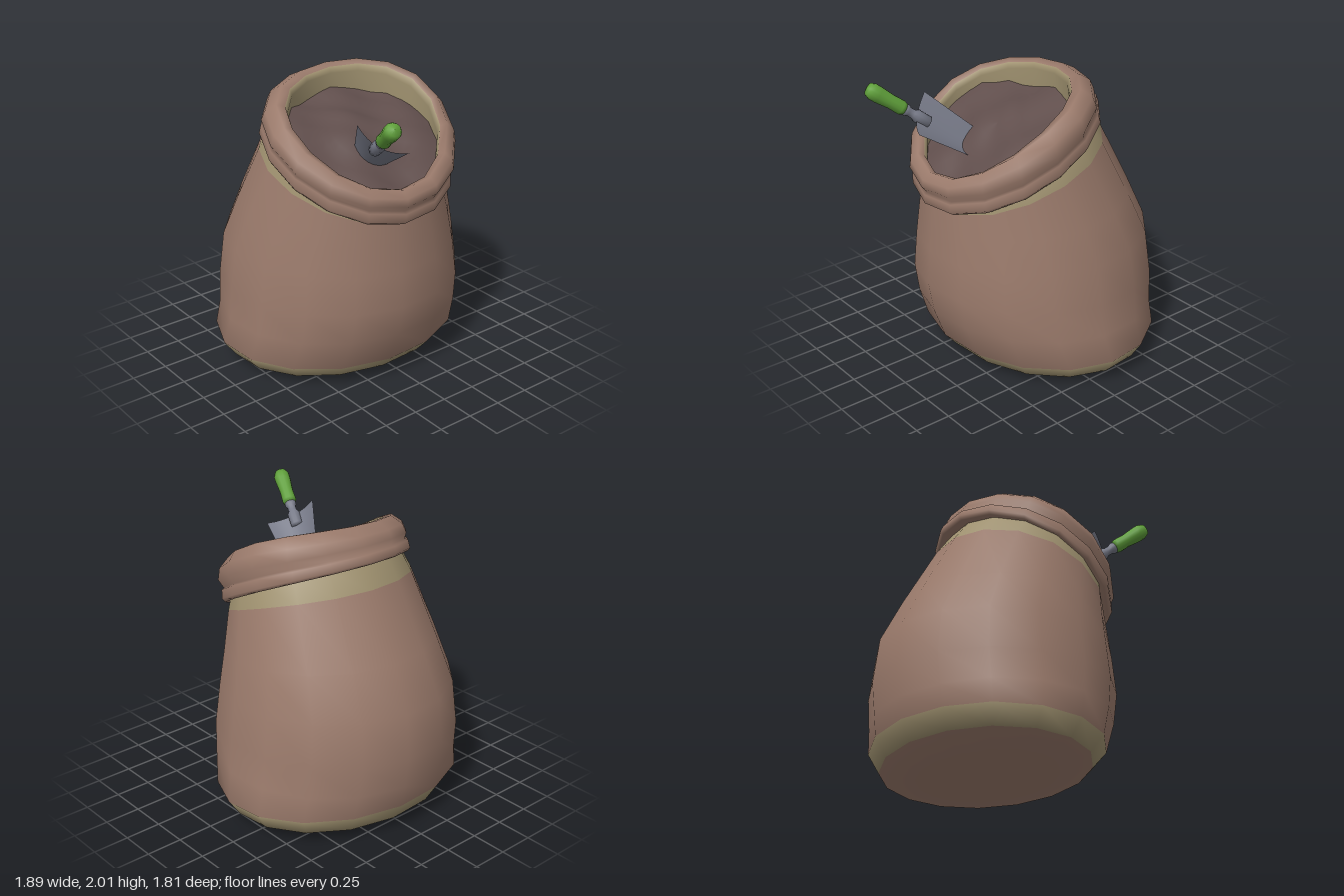
import * as THREE from 'three';

const mat = (name, color, side = THREE.FrontSide) => {
  const m = new THREE.MeshStandardMaterial({ color, side });
  m.name = name;
  return m;
};

const SIDES = 16, TURN = 0.12;

// Loft through tilted oval rings. Each ring: [leftX, leftY, rightX, rightY, halfDepth, bow, backLift, band]
// bow raises front and back of the ring; band is the material index of the strip above the ring.
function loft(rings, zc, sides = SIDES, bump = () => 0) {
  const pos = [], idx = [], g = new THREE.BufferGeometry();
  rings.forEach(([lx, ly, rx, ry, zh, bow = 0, lift = 0], i) => {
    for (let j = 0; j < sides; j++) {
      const t = TURN + (j / sides) * Math.PI * 2, c = Math.cos(t), s = Math.sin(t);
      const x = (lx + rx) / 2 + c * (rx - lx) / 2, z = zc(i) + zh * s;
      const y = (ly + ry) / 2 + c * (ry - ly) / 2 + bow * s * s - lift * s;
      pos.push(x, y + bump(x, z, i), z);
    }
  });
  for (let i = 0; i < rings.length - 1; i++) {
    const start = idx.length;
    for (let j = 0; j < sides; j++) {
      const k = (j + 1) % sides, a = i * sides, b = a + sides;
      idx.push(a + j, b + j, b + k, a + j, b + k, a + k);
    }
    g.addGroup(start, idx.length - start, rings[i][7] || 0);
  }
  g.setAttribute('position', new THREE.Float32BufferAttribute(pos, 3));
  g.setIndex(idx);
  g.computeVertexNormals();
  return g;
}

export function createModel() {
  const root = new THREE.Group();
  root.name = 'soilSack';
  const cloth = mat('brownCloth', 0x9a7a6b);
  const trim = mat('tanTrim', 0xa09270);
  const soil = mat('darkSoil', 0x604e4c);
  const metal = mat('greyMetal', 0x777a88, THREE.DoubleSide);
  const grip = mat('greenGrip', 0x5f9f3a);
  const add = (name, geo, material, parent = root) => {
    const m = new THREE.Mesh(geo, material);
    m.name = name;
    parent.add(m);
    return m;
  };

  // Sack body with a tan band at the base and another at the neck
  const body = [
    [-0.17, 0.0, -0.17, 0.0, 0, 0, 0, 0],
    [-0.57, 0.015, 0.22, 0.01, 0.46, 0, 0, 0],
    [-0.83, 0.08, 0.49, 0.055, 0.83, 0, 0, 1],
    [-0.905, 0.21, 0.58, 0.155, 0.91, 0, 0, 0],
    [-0.925, 0.36, 0.665, 0.38, 0.865, 0, 0, 0],
    [-0.95, 0.57, 0.705, 0.6, 0.845, 0, 0, 0],
    [-0.915, 0.88, 0.685, 0.85, 0.805, 0, 0, 0],
    [-0.77, 1.18, 0.665, 1.05, 0.735, 0.01, 0, 0],
    [-0.535, 1.62, 0.65, 1.19, 0.645, 0.05, 0, 1],
    [-0.43, 1.77, 0.64, 1.27, 0.6, 0.05, 0, 1],
    [-0.38, 1.84, 0.62, 1.34, 0.56, 0.05, 0, 1],
  ];
  add('sackBody', loft(body, i => 0.004 * i), [cloth, trim]);

  // Rolled cuff with a folded lower lip and a tan lining
  const cuff = [
    [-0.40, 1.77, 0.62, 1.25, 0.58, 0.04, 0.01, 0],
    [-0.49, 1.775, 0.685, 1.195, 0.645, 0.04, 0.01, 0],
    [-0.51, 1.8, 0.715, 1.215, 0.66, 0.04, 0.01, 0],
    [-0.49, 1.845, 0.715, 1.275, 0.655, 0.05, 0.01, 0],
    [-0.46, 1.85, 0.695, 1.29, 0.64, 0.05, 0.01, 0],
    [-0.46, 1.89, 0.73, 1.33, 0.67, 0.06, 0.02, 0],
    [-0.43, 1.945, 0.725, 1.385, 0.65, 0.08, 0.03, 0],
    [-0.34, 1.99, 0.675, 1.43, 0.59, 0.09, 0.035, 0],
    [-0.285, 1.97, 0.635, 1.42, 0.535, 0.09, 0.035, 1],
    [-0.27, 1.93, 0.615, 1.38, 0.52, 0.08, 0.03, 1],
    [-0.29, 1.72, 0.615, 1.22, 0.53, 0.04, 0, 1],
  ];
  add('rolledCuff', loft(cuff, () => 0.035), [cloth, trim]);

  // Lumpy soil filling the mouth
  const fill = [], STEPS = 9;
  for (let i = 0; i <= STEPS; i++) {
    const r = 1 - i / STEPS, rise = 0.05 * (1 - r * r);
    fill.push([0.165 - 0.455 * r, 1.6 + 0.23 * r + rise, 0.165 + 0.455 * r, 1.6 - 0.23 * r + rise,
      0.535 * r, 0.04 * r, 0.01 * r, 0]);
  }
  const lumps = (x, z) => 0.018 * Math.sin(9 * x + 4 * z) + 0.016 * Math.sin(13 * z - 5 * x + 1) + 0.008 * Math.sin(21 * x + 17 * z);
  add('soil', loft(fill, () => 0.035, 32, lumps), [soil]);

  // Hand trowel stuck in the soil
  const trowel = new THREE.Group();
  trowel.name = 'trowel';
  root.add(trowel);

  // Scooped blade: lofted strips from the buried tip to the wide shoulder
  const V = (x, y, z) => new THREE.Vector3(x, y, z);
  const A = V(0.52, 1.865, 0.37), B = V(0.735, 1.69, 0.13);
  const C = V(0.25, 1.6, 0.18), D = V(0.41, 1.49, 0.045);
  const bulge = V(0.24, -0.7, 0.67).multiplyScalar(0.06);
  const blade = new THREE.PlaneGeometry(1, 1, 8, 4);
  const p = blade.attributes.position;
  for (let i = 0; i < p.count; i++) {
    const u = p.getX(i) + 0.5, v = p.getY(i) + 0.5;
    const q = C.clone().lerp(D, u).lerp(A.clone().lerp(B, u), v);
    q.addScaledVector(bulge, 4 * u * (1 - u) - 0.25);
    p.setXYZ(i, q.x, q.y, q.z);
  }
  blade.computeVertexNormals();
  add('trowelBlade', blade, metal, trowel);

  // Socket and grip turned on one axis; profiles are [radius, distance]
  const foot = V(0.56, 1.7, 0.255), top = V(0.94, 1.99, 0.41);
  const stem = new THREE.Group();
  stem.name = 'trowelStem';
  stem.position.copy(foot);
  stem.quaternion.setFromUnitVectors(V(0, 1, 0), top.clone().sub(foot).normalize());
  trowel.add(stem);
  const turned = (pts) => new THREE.LatheGeometry(pts.map(a => new THREE.Vector2(...a)), 12);
  add('trowelSocket', turned([[0, 0], [0.042, 0.005], [0.044, 0.1], [0.03, 0.125], [0.03, 0.16], [0.04, 0.175], [0.04, 0.215], [0, 0.22]]), metal, stem);
  add('trowelGrip', turned([[0, 0.19], [0.04, 0.195], [0.05, 0.22], [0.047, 0.3], [0.056, 0.4], [0.056, 0.44], [0.042, 0.475], [0, 0.487]]), grip, stem);

  return root;
}
